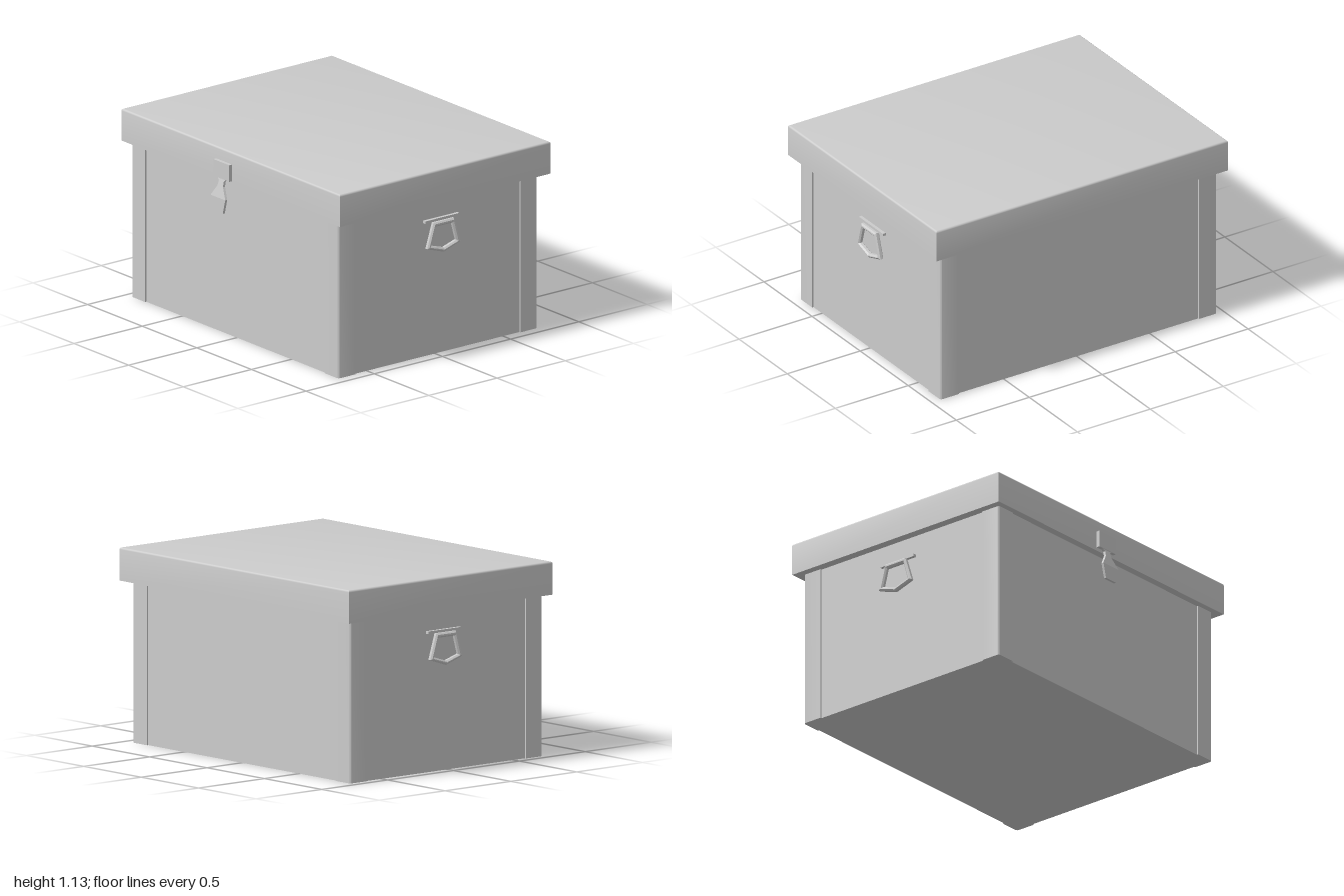
import * as THREE from 'three';
import { toCreasedNormals } from 'three/addons/utils/BufferGeometryUtils.js';

const material = new THREE.MeshStandardMaterial({ color: 0xcccccc });
const CX = -0.0075, CZ = -0.015; // centre of the box body

function part(name, geometry, x = 0, y = 0, z = 0) {
  const mesh = new THREE.Mesh(geometry, material);
  mesh.name = name;
  mesh.position.set(x, y, z);
  return mesh;
}

// Rectangular sections stacked upward: rows of [y, halfWidth, zBack, zFront]
function loft(rows, crease) {
  const n = rows.length - 1;
  const geo = new THREE.BoxGeometry(2, n, 2, 1, n, 1);
  const p = geo.attributes.position;
  for (let i = 0; i < p.count; i++) {
    const [y, w, back, front] = rows[Math.round(p.getY(i) + n / 2)];
    p.setXYZ(i, p.getX(i) * w, y, p.getZ(i) > 0 ? front : back);
  }
  return toCreasedNormals(geo, crease);
}

// L-shaped corner post with a rounded outer edge, outer corner at the origin
function postGeometry() {
  const w = 0.125, t = 0.03, r = 0.015;
  const s = new THREE.Shape();
  s.moveTo(-w, 0);
  s.lineTo(-w, -t);
  s.lineTo(-t, -t);
  s.lineTo(-t, -w);
  s.lineTo(0, -w);
  s.lineTo(0, -r);
  s.absarc(-r, -r, r, 0, Math.PI / 2, false);
  s.lineTo(-w, 0);
  const geo = new THREE.ExtrudeGeometry(s, { depth: 0.94, bevelEnabled: false, curveSegments: 5 });
  geo.rotateX(-Math.PI / 2);
  return toCreasedNormals(geo, 0.6);
}

// Side handle: mounting bar and bevelled five-sided ring, facing +x
function makeHandle(name) {
  const handle = new THREE.Group();
  handle.name = name;
  handle.add(part('handleBar', new THREE.BoxGeometry(0.02, 0.015, 0.25), 0.942, 0.8125, 0));
  const points = list => list.map(([x, y]) => new THREE.Vector2(x, y));
  const ring = new THREE.Shape(points([[-0.075, 0.805], [-0.122, 0.655], [0, 0.615], [0.122, 0.655], [0.075, 0.805]]));
  ring.holes.push(new THREE.Path(points([[-0.062, 0.778], [-0.092, 0.668], [0, 0.64], [0.092, 0.668], [0.062, 0.778]])));
  const geo = new THREE.ExtrudeGeometry(ring, {
    depth: 0.016, bevelThickness: 0.008, bevelSize: 0.009, bevelOffset: -0.009, bevelSegments: 1,
  });
  geo.rotateY(Math.PI / 2);
  handle.add(part('handleRing', geo, 0.949, 0, 0));
  return handle;
}

export function createModel() {
  const model = new THREE.Group();
  model.name = 'storageBox';

  // Body panels
  model.add(part('body', new THREE.BoxGeometry(1.877, 0.94, 1.442), CX, 0.47, CZ));

  // Four corner posts
  const post = postGeometry();
  const corners = [[1, -1], [-1, -1], [-1, 1], [1, 1]];
  corners.forEach(([sx, sz], i) => {
    const mesh = part('cornerPost', post, CX + sx * 0.9475, 0, CZ + sz * 0.73);
    mesh.rotation.y = i * Math.PI / 2;
    model.add(mesh);
  });

  // Lid with softened top edges
  const lidRows = [[0.938, 1, -0.793, 0.752]];
  for (let i = 0; i <= 4; i++) {
    const a = i / 4 * Math.PI / 2, inset = 0.012 * (1 - Math.cos(a));
    lidRows.push([1.119 + 0.012 * Math.sin(a), 1 - inset, -0.793 + inset, 0.752 - inset]);
  }
  model.add(part('lid', loft(lidRows, 0.6)));

  // Latch: plate on the lid and bent hasp below it
  const latch = new THREE.Group();
  latch.name = 'latch';
  latch.add(part('latchPlate', new THREE.BoxGeometry(0.145, 0.1, 0.022), 0, 1.008, 0.763));
  latch.add(part('hasp', loft([
    [0.762, 0.044, 0.784, 0.799],
    [0.85, 0.067, 0.784, 0.799],
    [0.915, 0.025, 0.767, 0.782],
    [0.945, 0.022, 0.759, 0.774],
    [0.96, 0.04, 0.755, 0.77],
  ], 0.1)));
  latch.position.x = -0.058;
  model.add(latch);

  // Handles on both sides
  const left = makeHandle('leftHandle');
  const right = makeHandle('rightHandle');
  left.position.set(0, 0, -0.038);
  right.rotation.y = Math.PI;
  right.position.set(2 * CX, 0, -0.038);
  model.add(left, right);

  return model;
}
